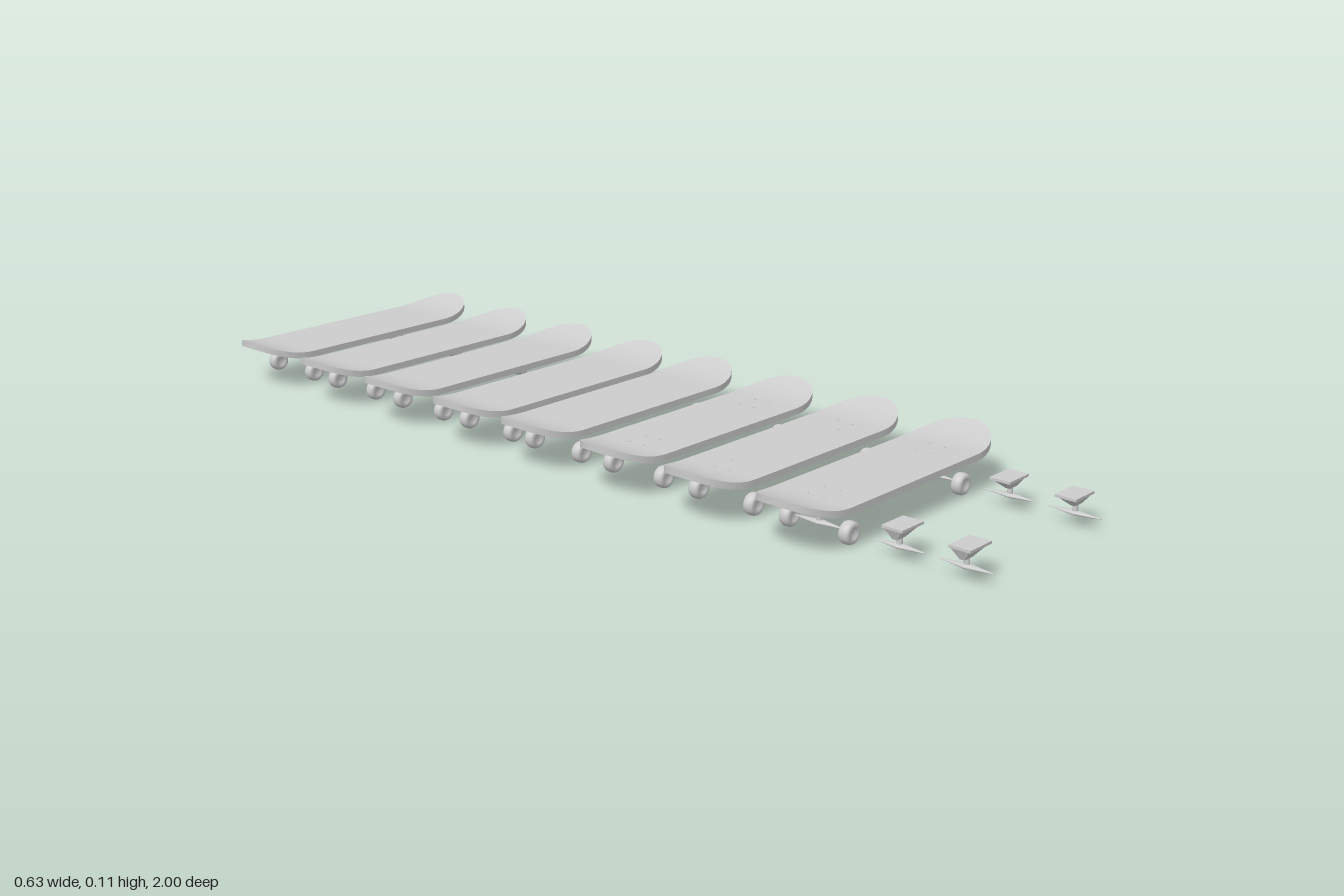
import * as THREE from 'three';

const grey = new THREE.MeshStandardMaterial({ color: 0xcccccc, side: THREE.DoubleSide });

function part(name, geometry, x = 0, y = 0, z = 0) {
  const mesh = new THREE.Mesh(geometry, grey);
  mesh.name = name;
  mesh.position.set(x, y, z);
  return mesh;
}

// Box whose vertices are moved by a rule
function shaped(geometry, rule) {
  const p = geometry.attributes.position;
  const v = new THREE.Vector3();
  for (let i = 0; i < p.count; i++) {
    v.fromBufferAttribute(p, i);
    rule(v);
    p.setXYZ(i, v.x, v.y, v.z);
  }
  geometry.computeVertexNormals();
  return geometry;
}

// Deck: flat middle, rounded outline, both ends curling up
function deckGeometry() {
  const flat = 0.2, tip = 0.116, half = 0.0875;
  return shaped(new THREE.BoxGeometry(2, 0.014, 2, 64, 1, 4), v => {
    const s = Math.abs(v.x), side = Math.sign(v.x);
    let x = (s / 0.25) * flat, w = half;
    if (s > 0.25) {
      const a = ((s - 0.25) / 0.75) * Math.PI / 2;
      x = flat + tip * Math.pow(Math.sin(a), 0.88);
      w = half * Math.pow(Math.max(Math.cos(a), 0.01), 0.88);
    }
    const t = Math.max(0, (x - flat) / tip);
    v.set(side * x, v.y + 0.074 + 0.027 * t * t, v.z * w);
  });
}

// Wheel: rounded tread with a recessed hub, axis along z
function wheelGeometry() {
  const profile = [
    [0, -0.008], [0.008, -0.008], [0.010, -0.011], [0.016, -0.0125], [0.020, -0.010],
    [0.022, -0.006], [0.0225, 0], [0.022, 0.006], [0.020, 0.010], [0.016, 0.0125],
    [0.010, 0.011], [0.008, 0.008], [0, 0.008],
  ].map(([r, h]) => new THREE.Vector2(r, h));
  return new THREE.LatheGeometry(profile, 28).rotateX(Math.PI / 2);
}

// Housing under the base plate, narrowing downwards to the kingpin
function housingGeometry() {
  return shaped(new THREE.BoxGeometry(2, 2, 2).toNonIndexed(), v => {
    if (v.y > 0) v.set(v.x > 0 ? 0.025 : -0.036, 0.062, v.z * 0.019);
    else v.set(v.x > 0 ? 0.016 : -0.01, 0.042, v.z * 0.005);
  });
}

const geo = {
  deck: deckGeometry(),
  wheel: wheelGeometry(),
  housing: housingGeometry(),
  plate: new THREE.BoxGeometry(0.066, 0.005, 0.045),
  kingpin: new THREE.CylinderGeometry(0.005, 0.006, 0.022, 12),
  hangerArm: new THREE.CylinderGeometry(0.0015, 0.011, 0.055, 12).rotateX(Math.PI / 2).scale(1, 0.45, 1),
  bolt: new THREE.CylinderGeometry(0.0025, 0.0025, 0.021, 8),
};

// One truck; the long end of its plate points along -x
function truck() {
  const group = new THREE.Group();
  group.name = 'truck';
  group.add(
    part('basePlate', geo.plate, -0.007, 0.0645),
    part('housing', geo.housing),
    part('kingpin', geo.kingpin, 0, 0.034),
  );
  for (const s of [1, -1]) {
    const arm = part('hangerArm', geo.hangerArm, 0, 0.026, s * 0.0275);
    if (s < 0) arm.rotation.y = Math.PI;
    group.add(arm);
  }
  return group;
}

function truckPair(z) {
  const pair = new THREE.Group();
  pair.name = 'truckPair';
  for (const s of [1, -1]) {
    const t = truck();
    t.position.x = s * 0.18;
    if (s < 0) t.rotation.y = Math.PI;
    pair.add(t);
  }
  pair.position.z = z;
  return pair;
}

// Deck with four wheels, optionally with eight mounting bolts
function skateboard(z, wheelShift, bolted) {
  const board = new THREE.Group();
  board.name = 'skateboard';
  board.add(part('deck', geo.deck));
  for (const sx of [1, -1]) for (const sz of [1, -1]) {
    board.add(part('wheel', geo.wheel, sx * 0.18, 0.0225, sz * 0.068 + wheelShift));
    if (!bolted) continue;
    for (const x of [0.145, 0.194]) board.add(part('bolt', geo.bolt, sx * x, 0.0715, sz * 0.018));
  }
  board.position.z = z;
  return board;
}

export function createModel() {
  const model = new THREE.Group();
  model.name = 'skateboardRow';
  // Row of boards: z position, wheel offset, bolts
  const row = [
    [-0.910, -0.0095, false], [-0.688, -0.009, false], [-0.468, 0, false], [-0.245, -0.004, false],
    [-0.039, -0.009, false], [0.184, -0.007, true], [0.404, 0, true], [0.626, 0, true],
  ];
  for (const [z, shift, bolted] of row) model.add(skateboard(z, shift, bolted));
  // Trucks: one pair mounted on the front board, two pairs loose in front
  for (const z of [0.626, 0.804, 0.944]) model.add(truckPair(z));
  return model;
}
